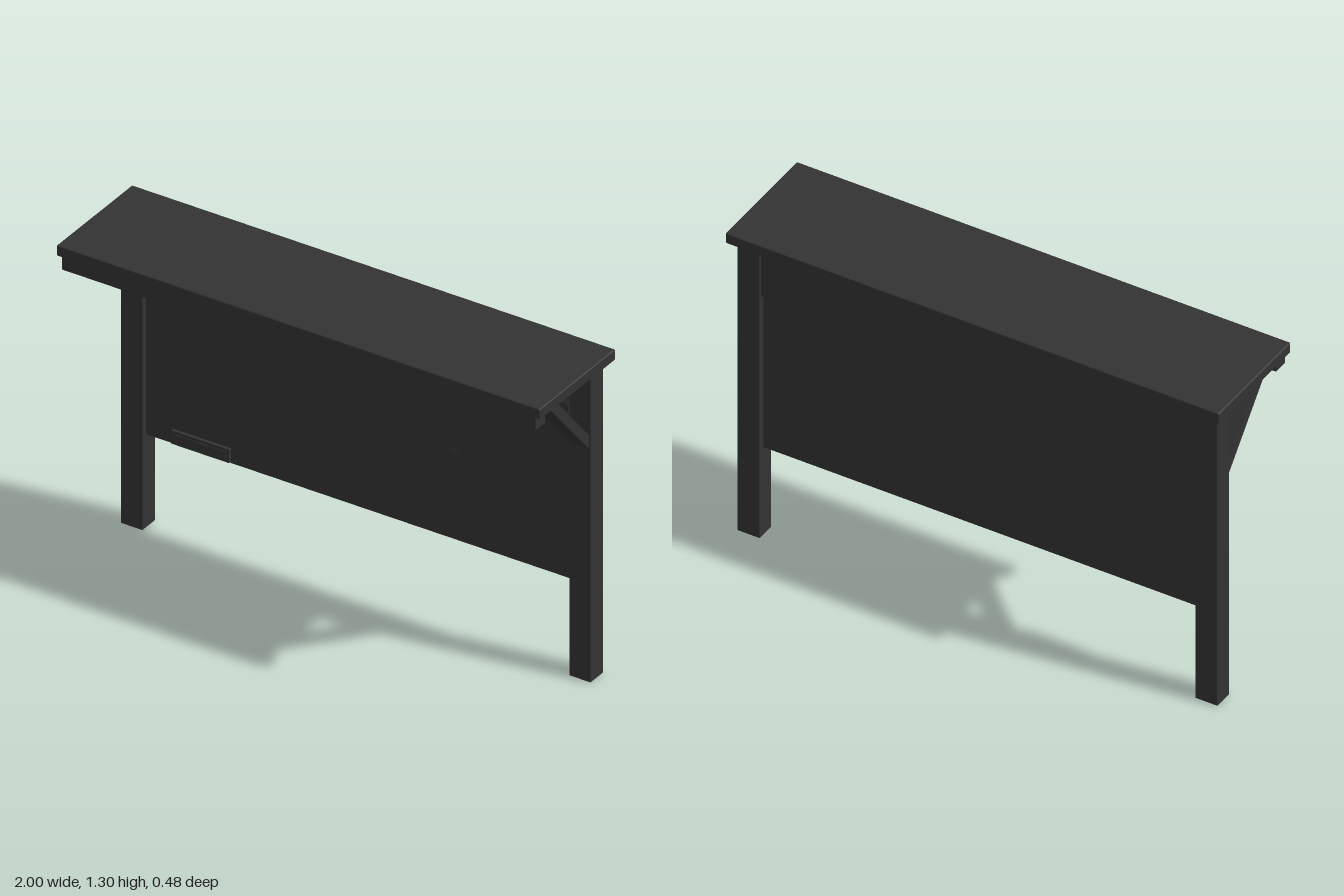
import * as THREE from 'three';
import { RoundedBoxGeometry } from 'three/addons/geometries/RoundedBoxGeometry.js';

const dark = new THREE.MeshStandardMaterial({ color: 0x333333 });
const paper = new THREE.MeshStandardMaterial({ color: 0x333333, side: THREE.DoubleSide });

export function createModel() {
  const group = new THREE.Group();

  const add = (name, geometry, material = dark) => {
    const mesh = new THREE.Mesh(geometry, material);
    mesh.name = name;
    group.add(mesh);
    return mesh;
  };

  // Box given by its limits, optionally with softened edges
  const box = (name, [x0, x1], [y0, y1], [z0, z1], r = 0) => {
    const size = [x1 - x0, y1 - y0, z1 - z0];
    const g = r ? new RoundedBoxGeometry(...size, 2, r) : new THREE.BoxGeometry(...size);
    g.translate((x0 + x1) / 2, (y0 + y1) / 2, (z0 + z1) / 2);
    return add(name, g);
  };

  // Side profile of [z, y] points, extruded from x0 to x1
  const profile = (name, points, x0, x1) => {
    const shape = new THREE.Shape(points.map(([z, y]) => new THREE.Vector2(z, y)));
    const g = new THREE.ExtrudeGeometry(shape, { depth: x1 - x0, bevelEnabled: false });
    g.rotateY(-Math.PI / 2);
    g.translate(x1, 0, 0);
    return add(name, g);
  };

  // Flat roof and the beam under its front edge
  box('roof', [-1, 1], [1.262, 1.305], [-0.24, 0.24], 0.005);
  box('frontBeam', [-0.98, 0.98], [1.21, 1.264], [0.175, 0.236], 0.003);

  // Posts with diagonal braces
  for (const [side, s] of [['left', 1], ['right', -1]]) {
    const span = (a, b) => (s > 0 ? [a, b] : [-b, -a]);
    box(side + 'Post', span(0.882, 0.972), [0, 1.263], [-0.205, -0.125], 0.003);
    const brace = [[0.15, 1.263], [0.1, 1.263], [-0.127, 1.0], [-0.127, 0.945]];
    profile(side + 'Brace', brace, ...span(0.888, 0.966));
  }

  // Thin board and the deeper rail above it
  box('board', [-0.884, 0.884], [0.38, 1.06], [-0.178, -0.147]);
  profile('upperRail', [
    [-0.195, 1.048], [-0.118, 1.048], [-0.118, 1.105], [-0.126, 1.125],
    [-0.126, 1.205], [-0.118, 1.22], [-0.118, 1.263], [-0.195, 1.263],
  ], -0.884, 0.884);

  // Hooded fitting in the middle of the rail: cheeks, hood and sloping tray
  const x0 = -0.195, x1 = 0.16;
  const cheek = [[-0.128, 1.12], [-0.082, 1.18], [-0.084, 1.19], [-0.128, 1.202]];
  profile('fittingCheek', cheek, x0, x0 + 0.018);
  profile('fittingCheek', cheek, x1 - 0.018, x1);
  profile('fittingHood', [[-0.128, 1.188], [-0.09, 1.17], [-0.082, 1.18], [-0.084, 1.19], [-0.128, 1.202]], x0, x1);
  profile('fittingTray', [[-0.128, 1.12], [-0.116, 1.136], [-0.108, 1.165], [-0.116, 1.19], [-0.128, 1.19]], x0, x1);

  // Lamp under the roof
  box('lampBase', [-0.5, 0.5], [1.248, 1.263], [-0.075, -0.025]);
  const tube = new THREE.CylinderGeometry(0.015, 0.015, 0.98, 12);
  tube.rotateZ(Math.PI / 2);
  tube.translate(0, 1.248, -0.05);
  add('lampTube', tube);

  // Label plate at the lower corner of the board
  box('labelPlate', [-0.77, -0.53], [0.386, 0.44], [-0.15, -0.134]);
  box('labelInset', [-0.755, -0.545], [0.398, 0.428], [-0.136, -0.131]);

  // Torn paper scraps, bowed slightly away from the board
  const scraps = [
    [[-0.23, 0.82], [-0.13, 0.82], [-0.15, 0.85], [-0.22, 0.86]],
    [[-0.15, 0.75], [-0.12, 0.745], [-0.06, 0.775], [-0.09, 0.79], [-0.13, 0.775]],
    [[-0.04, 0.83], [0.06, 0.8], [0.09, 0.82], [0.06, 0.855], [-0.03, 0.86]],
    [[0.045, 0.665], [0.125, 0.685], [0.13, 0.73], [0.09, 0.76], [0.1, 0.81], [0.06, 0.8], [0.03, 0.74]],
    [[0.35, 0.75], [0.37, 0.64], [0.45, 0.56], [0.54, 0.55], [0.55, 0.6], [0.46, 0.64], [0.53, 0.74], [0.45, 0.69], [0.4, 0.75]],
  ];
  for (const points of scraps) {
    const g = new THREE.ShapeGeometry(new THREE.Shape(points.map((p) => new THREE.Vector2(...p))));
    const pos = g.attributes.position;
    for (let i = 0; i < pos.count; i++) pos.setZ(i, -0.144 + (i % 3) * 0.004);
    g.computeVertexNormals();
    add('paperScrap', g, paper);
  }

  return group;
}
